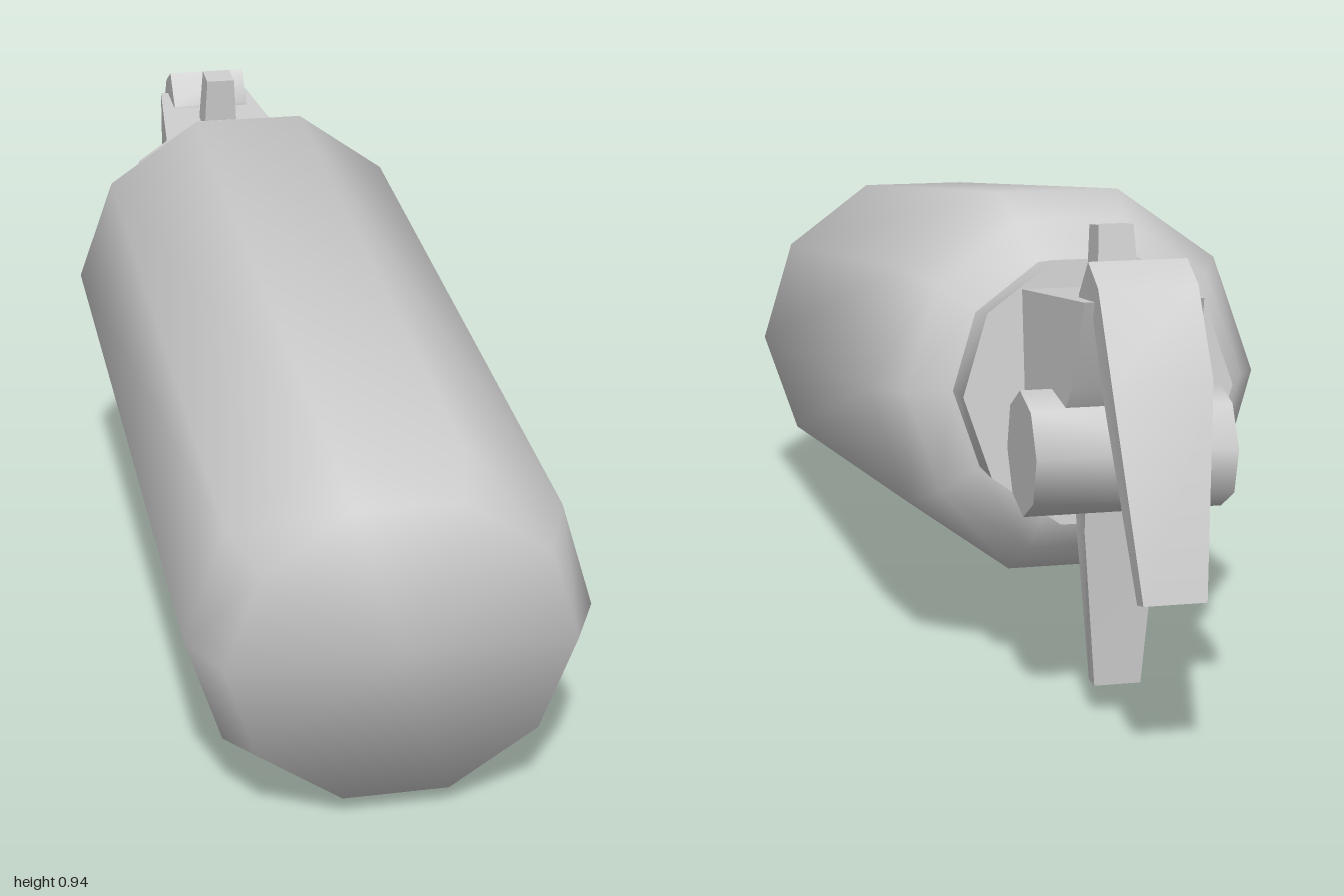
import * as THREE from 'three';
import { toCreasedNormals } from 'three/addons/utils/BufferGeometryUtils.js';

const material = new THREE.MeshStandardMaterial({ color: 0xcccccc });

function part(name, geometry, crease = 0.9) {
  const mesh = new THREE.Mesh(toCreasedNormals(geometry, crease), material);
  mesh.name = name;
  return mesh;
}

// Side profile given as [up, along]; halfWidth(up, along) sets the local width
function tapered(name, points, halfWidth) {
  const shape = new THREE.Shape(points.map(([u, s]) => new THREE.Vector2(u, s)));
  const geometry = new THREE.ExtrudeGeometry(shape, { depth: 2, bevelEnabled: false });
  geometry.translate(0, 0, -1);
  const pos = geometry.attributes.position;
  for (let i = 0; i < pos.count; i++) {
    pos.setZ(i, pos.getZ(i) * halfWidth(pos.getX(i), pos.getY(i)));
  }
  return part(name, geometry);
}

const { mapLinear, clamp } = THREE.MathUtils;

export function createModel() {
  // Built with local y along the cylinder, x up and z across, then laid down
  const group = new THREE.Group();
  group.name = 'fireExtinguisher';

  // Ten-sided tank with chamfered base and rounded shoulder
  const tank = [[0, -1.08], [0.34, -1.08], [0.397, -0.973], [0.397, 0.555], [0.34, 0.655], [0.265, 0.7], [0, 0.7]];
  group.add(part('tank', new THREE.LatheGeometry(tank.map(([r, s]) => new THREE.Vector2(r, s)), 10), 1.12));

  // Collar round the neck
  const collar = [[0.255, 0.69], [0.265, 0.84], [0, 0.84]];
  group.add(part('collar', new THREE.LatheGeometry(collar.map(([r, s]) => new THREE.Vector2(r, s)), 10)));

  // Wedge-shaped valve block
  group.add(tapered('valveBlock',
    [[0.2, 0.82], [0.19, 1.17], [0.03, 1.09], [-0.1, 0.98], [-0.12, 0.82]],
    (u, s) => mapLinear(s, 0.82, 1.17, 0.148, 0.11)));

  // Cross barrel through the valve
  const barrel = new THREE.CylinderGeometry(0.117, 0.117, 0.38, 8);
  barrel.rotateX(Math.PI / 2).translate(-0.094, 0.989, 0);
  group.add(part('crossBarrel', barrel));

  // Bent upper lever
  group.add(tapered('upperLever',
    [[0.18, 1.06], [0.2, 1.06], [0.26, 1.13], [0.215, 1.195], [0.05, 1.272], [-0.331, 1.32],
      [-0.335, 1.28], [0.01, 1.205], [0.17, 1.15]],
    (u) => mapLinear(clamp(u, -0.33, 0.05), -0.33, 0.05, 0.058, 0.092)));

  // Lower handle hanging from the barrel
  group.add(tapered('lowerHandle',
    [[-0.1, 0.91], [-0.1, 1.0], [-0.25, 0.972], [-0.55, 0.92], [-0.545, 0.882], [-0.25, 0.912]],
    (u) => mapLinear(clamp(u, -0.55, -0.25), -0.55, -0.25, 0.045, 0.07)));

  // Small square safety pin on top
  const pin = new THREE.CylinderGeometry(0.047, 0.06, 0.17, 4);
  pin.rotateY(Math.PI / 4).rotateZ(-Math.PI / 2).translate(0.235, 0.955, 0);
  group.add(part('safetyPin', pin));

  // Lay the cylinder along the diagonal with the head raised
  const tilt = 0.122, c = Math.cos(tilt), s = Math.sin(tilt), d = Math.SQRT1_2;
  const frame = new THREE.Matrix4().makeBasis(
    new THREE.Vector3(s * d, c, s * d),
    new THREE.Vector3(-c * d, s, -c * d),
    new THREE.Vector3(-d, 0, d));
  group.quaternion.setFromRotationMatrix(frame);
  group.position.y = 0.495;

  const model = new THREE.Group();
  model.add(group);
  return model;
}
